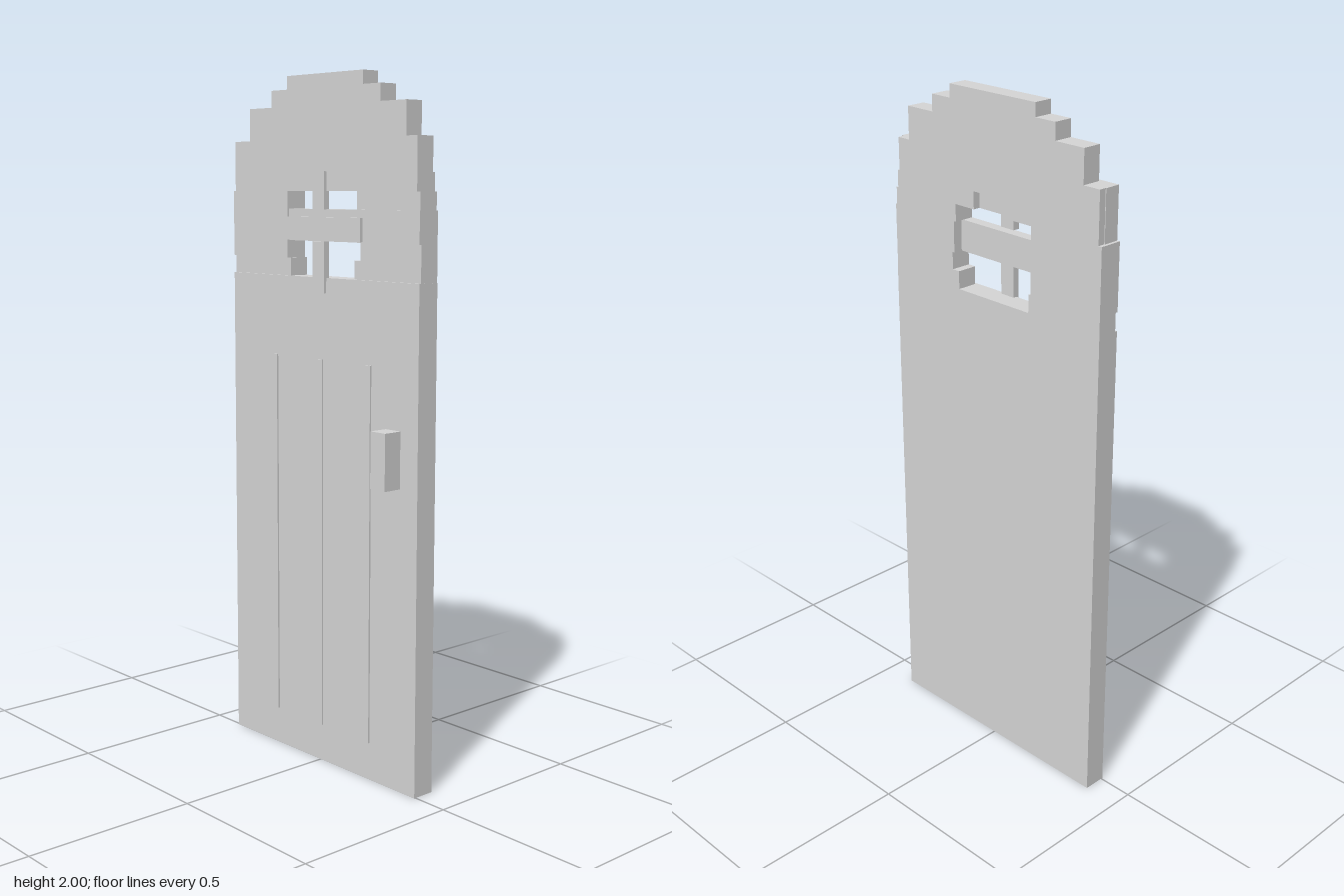
import * as THREE from 'three';

export function createModel() {
  const door = new THREE.Group();
  door.name = 'door';
  const grey = new THREE.MeshStandardMaterial({ color: 0xd6d6d6 });
  grey.name = 'light grey';

  // Box given by its limits on each axis
  const slab = (name, x0, x1, y0, y1, z0, z1) => {
    const mesh = new THREE.Mesh(new THREE.BoxGeometry(x1 - x0, y1 - y0, z1 - z0), grey);
    mesh.position.set((x0 + x1) / 2, (y0 + y1) / 2, (z0 + z1) / 2);
    mesh.name = name;
    door.add(mesh);
  };
  const back = -0.063, front = 0.005, recess = -0.002;

  // Large lower panel
  slab('lowerPanel', -0.394, 0.393, 0, 1.433, back, front);

  // Blocks around the window
  slab('windowSideLowerRight', -0.394, -0.138, 1.433, 1.485, back, recess);
  slab('windowSideUpperRight', -0.394, -0.146, 1.485, 1.675, back, front);
  slab('windowSideLowerLeft', 0.132, 0.392, 1.433, 1.485, back, recess);
  slab('windowSideMiddleLeft', 0.157, 0.392, 1.485, 1.535, back, recess);
  slab('windowSideUpperLeft', 0.15, 0.392, 1.535, 1.625, back, front);
  slab('windowSideTopLeft', 0.142, 0.387, 1.625, 1.675, back, recess);
  slab('windowCrossBlock', -0.15, 0.157, 1.535, 1.625, -0.035, recess);

  // Panel above the window, in two layers, notched at the back
  slab('upperPanelFront', -0.385, 0.381, 1.675, 1.82, -0.042, front);
  slab('upperPanelBack', -0.383, 0.372, 1.725, 1.82, back, -0.042);
  slab('upperPanelBackRight', -0.383, -0.07, 1.675, 1.725, back, -0.042);
  slab('upperPanelBackLeft', 0.07, 0.38, 1.675, 1.725, back, -0.042);

  // Stepped arch
  const steps = [[0.328, 1.82, 1.914], [0.229, 1.914, 1.962], [0.159, 1.962, 2]];
  for (const [w, y0, y1] of steps) slab('archStep', -w, w, y0, y1, back, -0.006);

  // Window cross bars
  slab('crossBar', -0.174, 0.172, 1.537, 1.603, recess, 0.014);
  slab('uprightBarTop', -0.025, 0.023, 1.625, 1.73, -0.006, 0.014);
  slab('uprightBarBottom', -0.025, 0.023, 1.39, 1.535, -0.006, 0.014);

  // Thin plank ridges
  for (const x of [-0.2, 0, 0.2]) slab('plankRidge', x - 0.01, x + 0.01, 0.11, 1.2, 0, 0.01);

  // Handle
  slab('handle', 0.269, 0.326, 0.87, 1.03, 0, 0.063);
  return door;
}
